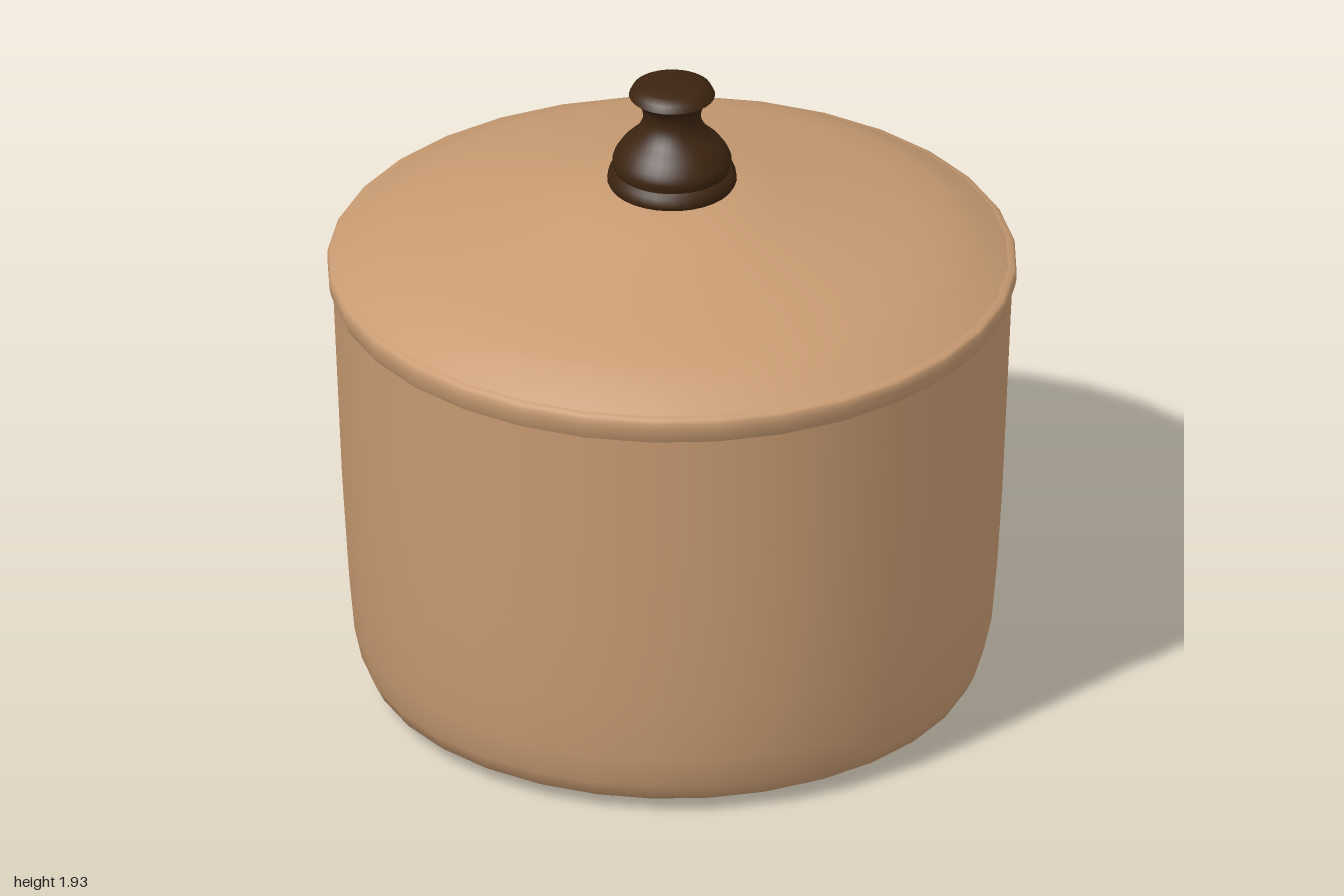
import * as THREE from 'three';

const SEGMENTS = 32;

// Turned part from [radius, height] points, listed from bottom to top along the outside
function turned(name, points, material, smooth = false) {
  let profile = points.map(([r, y]) => new THREE.Vector2(r, y));
  if (smooth) {
    profile = new THREE.SplineCurve(profile).getPoints(points.length * 3);
    profile.forEach((p) => { p.x = Math.max(p.x, 0); });
  }
  const mesh = new THREE.Mesh(new THREE.LatheGeometry(profile, SEGMENTS), material);
  mesh.name = name;
  return mesh;
}

export function createModel() {
  const clay = new THREE.MeshStandardMaterial({ name: 'tan clay', color: 0xc89b72 });
  const wood = new THREE.MeshStandardMaterial({ name: 'dark wood', color: 0x3c2410 });

  const pot = new THREE.Group();
  pot.name = 'pot';

  // Slightly domed base and tapering wall
  pot.add(turned('base', [[0, 0], [0.4, 0.006], [0.78, 0.016]], clay));
  pot.add(turned('wall', [
    [0.78, 0.016], [0.84, 0.026], [0.88, 0.05], [0.905, 0.1], [0.927, 0.2],
    [0.943, 0.38], [0.958, 0.62], [0.972, 0.95], [0.986, 1.275],
  ], clay));

  // Rounded rim around the mouth
  pot.add(turned('rim', [
    [0.986, 1.275], [0.995, 1.295], [1, 1.32], [1, 1.34], [0.993, 1.35], [0.975, 1.355],
  ], clay));

  // Lid: curved shoulder rising to a shallow cone
  pot.add(turned('lid', [
    [0.975, 1.355], [0.9, 1.4], [0.82, 1.437], [0.7, 1.477], [0.5, 1.525],
    [0.32, 1.57], [0.19, 1.603], [0, 1.61],
  ], clay));

  // Knob: foot disc, waisted stem and flat cap
  const knob = new THREE.Group();
  knob.name = 'knob';
  knob.add(turned('knobFoot', [
    [0, 1.6], [0.18, 1.6], [0.188, 1.615], [0.184, 1.64], [0.168, 1.652],
  ], wood));
  knob.add(turned('knobStem', [
    [0.168, 1.652], [0.172, 1.685], [0.145, 1.73], [0.105, 1.77],
    [0.084, 1.815], [0.094, 1.86], [0.125, 1.89],
  ], wood, true));
  knob.add(turned('knobCap', [
    [0.125, 1.89], [0.115, 1.91], [0.09, 1.923], [0.05, 1.929], [0, 1.93],
  ], wood));
  pot.add(knob);

  return pot;
}
